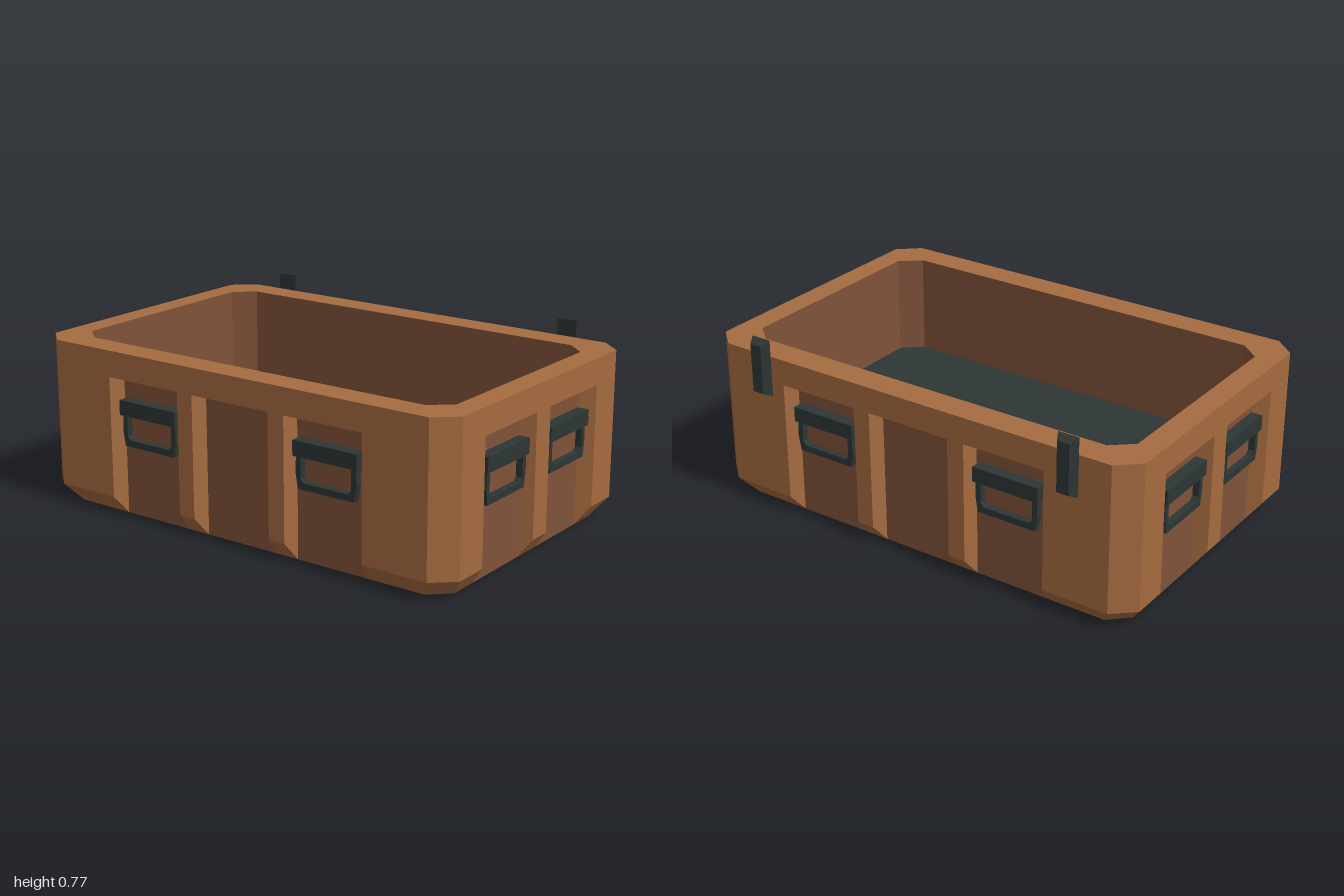
import * as THREE from 'three';
import { ConvexGeometry } from 'three/addons/geometries/ConvexGeometry.js';

const makeMaterial = (name, color) => {
  const m = new THREE.MeshStandardMaterial({ color });
  m.name = name;
  return m;
};

// Heights and half sizes of the tub
const H = 0.70, BEVEL = 0.08, FLOOR = 0.27;
const HX = 1.0, HZ = 0.6475;    // outer shell
const BX = 0.94, BZ = 0.582;    // base and recess panels
const OPEN_TOP = 0.59, PANEL_TOP = 0.565;

// Corner-cut rectangle, counterclockwise seen from above, as [x, -z] pairs
const octagon = (hx, hz, kx, kz) => [
  [hx, -kz], [hx, kz], [kx, hz], [-kx, hz],
  [-hx, kz], [-hx, -kz], [-kx, -hz], [kx, -hz],
];
const OUTER = octagon(HX, HZ, 0.91, 0.567);
const BASE = octagon(BX, BZ, 0.86, 0.505);
const INNER = octagon(0.90, 0.528, 0.815, 0.455);

// Flat-faced mesh from four-cornered faces
function quadMesh(name, quads, material) {
  const pos = [];
  for (const [a, b, c, d] of quads) pos.push(...a, ...b, ...c, ...a, ...c, ...d);
  const g = new THREE.BufferGeometry();
  g.setAttribute('position', new THREE.Float32BufferAttribute(pos, 3));
  g.computeVertexNormals();
  const mesh = new THREE.Mesh(g, material);
  mesh.name = name;
  return mesh;
}

// Wall faces between two octagon rings
function ringQuads(lower, y0, upper, y1, keep = () => true) {
  const p = (ring, i, y) => [ring[i % 8][0], y, -ring[i % 8][1]];
  return [0, 1, 2, 3, 4, 5, 6, 7].filter(keep).map((i) =>
    [p(lower, i, y0), p(lower, i + 1, y0), p(upper, i + 1, y1), p(upper, i, y1)]);
}

// Horizontal plate with an optional opening
function plate(name, outline, hole, y, up, material) {
  const toVec = (pts) => pts.map(([x, s]) => new THREE.Vector2(x, s));
  const shape = new THREE.Shape(toVec(outline));
  if (hole) shape.holes.push(new THREE.Path(toVec(hole)));
  const g = new THREE.ShapeGeometry(shape).rotateX(up ? -Math.PI / 2 : Math.PI / 2);
  const mesh = new THREE.Mesh(g, material);
  mesh.position.y = y;
  mesh.name = name;
  return mesh;
}

// One long or short wall facing +z: posts, header, bevelled feet and recesses.
// Each recess is [opening start, panel start, panel end, opening end].
function buildSide(name, half, halfBase, W, P, recesses, mats) {
  const frame = [], panels = [];
  let from = -half, fromBase = -halfBase;
  const post = (to, toBase) => {
    frame.push([[from, BEVEL, W], [to, BEVEL, W], [to, H, W], [from, H, W]]);
    frame.push([[fromBase, 0, P], [toBase, 0, P], [to, BEVEL, W], [from, BEVEL, W]]);
  };
  for (const [o0, i0, i1, o1] of recesses) {
    post(o0, i0);
    frame.push(
      [[o0, OPEN_TOP, W], [o1, OPEN_TOP, W], [o1, H, W], [o0, H, W]],
      [[o0, BEVEL, W], [i0, 0, P], [i0, PANEL_TOP, P], [o0, OPEN_TOP, W]],
      [[i1, 0, P], [o1, BEVEL, W], [o1, OPEN_TOP, W], [i1, PANEL_TOP, P]],
      [[i0, PANEL_TOP, P], [i1, PANEL_TOP, P], [o1, OPEN_TOP, W], [o0, OPEN_TOP, W]],
    );
    panels.push([[i0, 0, P], [i1, 0, P], [i1, PANEL_TOP, P], [i0, PANEL_TOP, P]]);
    from = o1;
    fromBase = i1;
  }
  post(half, halfBase);
  const side = new THREE.Group();
  side.name = name;
  side.add(quadMesh('wallFrame', frame, mats.shell), quadMesh('recessPanels', panels, mats.panel));
  return side;
}

const shapeOf = (pts) => new THREE.Shape(pts.map(([x, y]) => new THREE.Vector2(x, y)));

// Hinge block with a hanging pull loop
function buildHandle(material) {
  const handle = new THREE.Group();
  handle.name = 'handle';
  const L = 0.295;
  const block = new THREE.ExtrudeGeometry(
    shapeOf([[0, 0.423], [0.05, 0.434], [0.05, 0.497], [0, 0.497]]),
    { depth: L, bevelEnabled: false });
  block.rotateY(-Math.PI / 2).translate(L / 2, 0, 0);
  const hinge = new THREE.Mesh(block, material);
  hinge.name = 'handleHinge';

  const half = [[0.138, 0.44], [0.141, 0.37], [0.130, 0.304]];
  const inner = [[0.102, 0.331], [0.117, 0.346], [0.117, 0.44]];
  const mirror = (pts) => pts.map(([x, y]) => [-x, y]).reverse();
  const loopGeo = new THREE.ExtrudeGeometry(
    shapeOf([...half, ...mirror(half), ...mirror(inner), ...inner]),
    { depth: 0.028, bevelEnabled: false });
  const loop = new THREE.Mesh(loopGeo, material);
  loop.position.z = 0.012;
  loop.name = 'handleLoop';
  handle.add(hinge, loop);
  return handle;
}

export function createModel() {
  const mats = {
    shell: makeMaterial('tanShell', 0xa56b40),
    panel: makeMaterial('brownPanel', 0x80523a),
    dark: makeMaterial('darkMetal', 0x2d3535),
  };
  const model = new THREE.Group();
  model.name = 'openCrate';
  const body = new THREE.Group();
  body.name = 'crateBody';
  body.position.z = 0.0175;
  model.add(body);

  // Cut corners, rim, underside and interior
  const odd = (i) => i % 2 === 1;
  body.add(
    quadMesh('corners', [
      ...ringQuads(OUTER, BEVEL, OUTER, H, odd),
      ...ringQuads(BASE, 0, OUTER, BEVEL, odd),
    ], mats.shell),
    plate('rim', OUTER, INNER, H, true, mats.shell),
    plate('underside', BASE, null, 0, false, mats.shell),
    quadMesh('innerWalls', ringQuads(INNER, FLOOR, INNER, H).map((q) => q.reverse()), mats.panel),
    plate('innerFloor', INNER, null, FLOOR, true, mats.dark),
  );

  // Four walls with recesses and handles
  const longRecesses = [
    [-0.623, -0.603, -0.278, -0.263],
    [-0.188, -0.17, 0.17, 0.188],
    [0.263, 0.278, 0.603, 0.623],
  ];
  const shortRecesses = [
    [-0.415, -0.386, -0.068, -0.05],
    [0.05, 0.068, 0.386, 0.415],
  ];
  ['frontWall', 'leftWall', 'backWall', 'rightWall'].forEach((name, i) => {
    const long = i % 2 === 0;
    const side = long
      ? buildSide(name, 0.91, 0.86, HZ, BZ, longRecesses, mats)
      : buildSide(name, 0.567, 0.505, HX, BX, shortRecesses, mats);
    for (const s of [-1, 1]) {
      const handle = buildHandle(mats.dark);
      handle.position.set(s * (long ? 0.44 : 0.228), 0, long ? BZ : BX);
      side.add(handle);
    }
    side.rotation.y = i * Math.PI / 2;
    body.add(side);
  });

  // Tapered lid clips on the back
  for (const s of [-1, 1]) {
    const pts = [];
    for (const [hx, y0, y1, z] of [[0.045, 0.525, 0.77, 0], [0.026, 0.543, 0.752, -0.036]]) {
      for (const x of [-hx, hx]) for (const y of [y0, y1]) pts.push(new THREE.Vector3(x, y, z));
    }
    const clip = new THREE.Mesh(new ConvexGeometry(pts), mats.dark);
    clip.name = s > 0 ? 'leftClip' : 'rightClip';
    clip.position.set(s * 0.728, 0, -HZ);
    body.add(clip);
  }
  return model;
}
